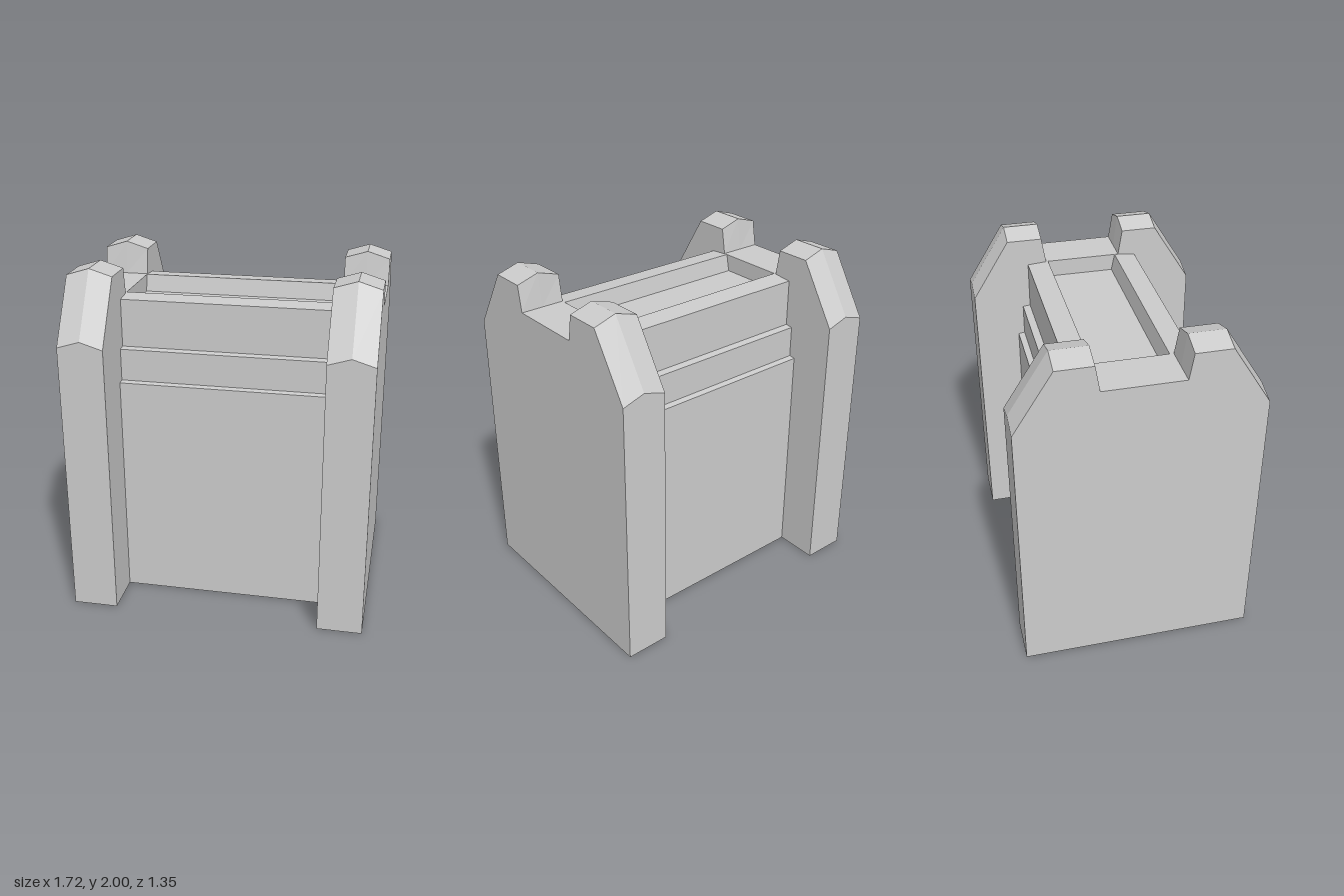
import * as THREE from 'three';

const material = new THREE.MeshStandardMaterial({
  color: 0xcccccc, flatShading: true, side: THREE.DoubleSide,
});

// Mirrors a front half profile of [z, y, lift] to run over the top to the back.
const mirrorProfile = (half) => [
  ...half,
  ...half.slice().reverse().map(([z, y, lift]) => [-z, y, lift]),
];

// Sweeps a profile along x; each column is [x, ridge], ridge scaling the lift.
function sweep(profile, columns) {
  const positions = [];
  const corner = ([z, y, lift = 0], [x, ridge]) => [x, y + lift * ridge, z];
  for (let c = 0; c < columns.length - 1; c++) {
    for (let i = 0; i < profile.length - 1; i++) {
      const a = corner(profile[i], columns[c]);
      const b = corner(profile[i], columns[c + 1]);
      const d = corner(profile[i + 1], columns[c + 1]);
      const e = corner(profile[i + 1], columns[c]);
      positions.push(...a, ...b, ...d, ...a, ...d, ...e);
    }
  }
  const geometry = new THREE.BufferGeometry();
  geometry.setAttribute('position', new THREE.Float32BufferAttribute(positions, 3));
  geometry.computeVertexNormals();
  return geometry;
}

function addMesh(parent, name, geometry) {
  const mesh = new THREE.Mesh(geometry, material);
  mesh.name = name;
  parent.add(mesh);
  return mesh;
}

export function createModel() {
  const model = new THREE.Group();
  model.name = 'merlonBlock';

  const inner = 0.6, outer = 0.86, middle = 0.73;

  // End slabs: hollow, open below, with a ridged merlon at each end of a notch
  const slabProfile = mirrorProfile([
    [0.675, 0, 0], [0.675, 1.61, 0.04], [0.455, 1.96, 0.04],
    [0.25, 1.96, 0.04], [0.225, 1.81, 0],
  ]);
  const sideShape = new THREE.Shape(slabProfile.map(([z, y]) => new THREE.Vector2(z, y)));

  for (const [name, side] of [['leftSlab', 1], ['rightSlab', -1]]) {
    const slab = new THREE.Group();
    slab.name = name;
    model.add(slab);

    const columns = [[inner * side, 0], [middle * side, 1], [outer * side, 0]];
    columns.sort((a, b) => a[0] - b[0]);
    addMesh(slab, 'slabShell', sweep(slabProfile, columns));

    // Flat inner and outer faces, facing away from the slab's core
    for (const [faceName, x, turn] of [['innerFace', inner, 1], ['outerFace', outer, -1]]) {
      const face = addMesh(slab, faceName, new THREE.ShapeGeometry(sideShape));
      face.rotation.y = -turn * side * Math.PI / 2;
      face.position.x = x * side;
    }

    // Gable triangles that close the ridge above the notch
    for (const end of [1, -1]) {
      const gable = new THREE.Shape([
        new THREE.Vector2(inner, 1.96), new THREE.Vector2(outer, 1.96), new THREE.Vector2(middle, 2),
      ]);
      const mesh = addMesh(slab, 'merlonGable', new THREE.ShapeGeometry(gable));
      mesh.scale.x = side;
      mesh.position.z = 0.25 * end;
    }

    // Partitions inside the hollow slab, in line with the parapet walls
    for (const z of [0.405, -0.415]) {
      const partition = addMesh(slab, 'partition', new THREE.PlaneGeometry(outer - inner, 1.33));
      partition.position.set(middle * side, 0.665, z);
    }
  }

  // Stepped parapet walls on both faces, with the sunken walkway between them
  const wallProfile = mirrorProfile([
    [0.413, 0], [0.413, 1.33], [0.376, 1.335], [0.376, 1.52], [0.332, 1.525],
    [0.332, 1.8], [0.208, 1.81], [0.188, 1.71],
  ]);
  const walls = addMesh(model, 'parapetWallsAndWalkway',
    sweep(wallProfile, [[-inner, 0], [inner, 0]]));
  walls.position.z = -0.005;

  return model;
}
